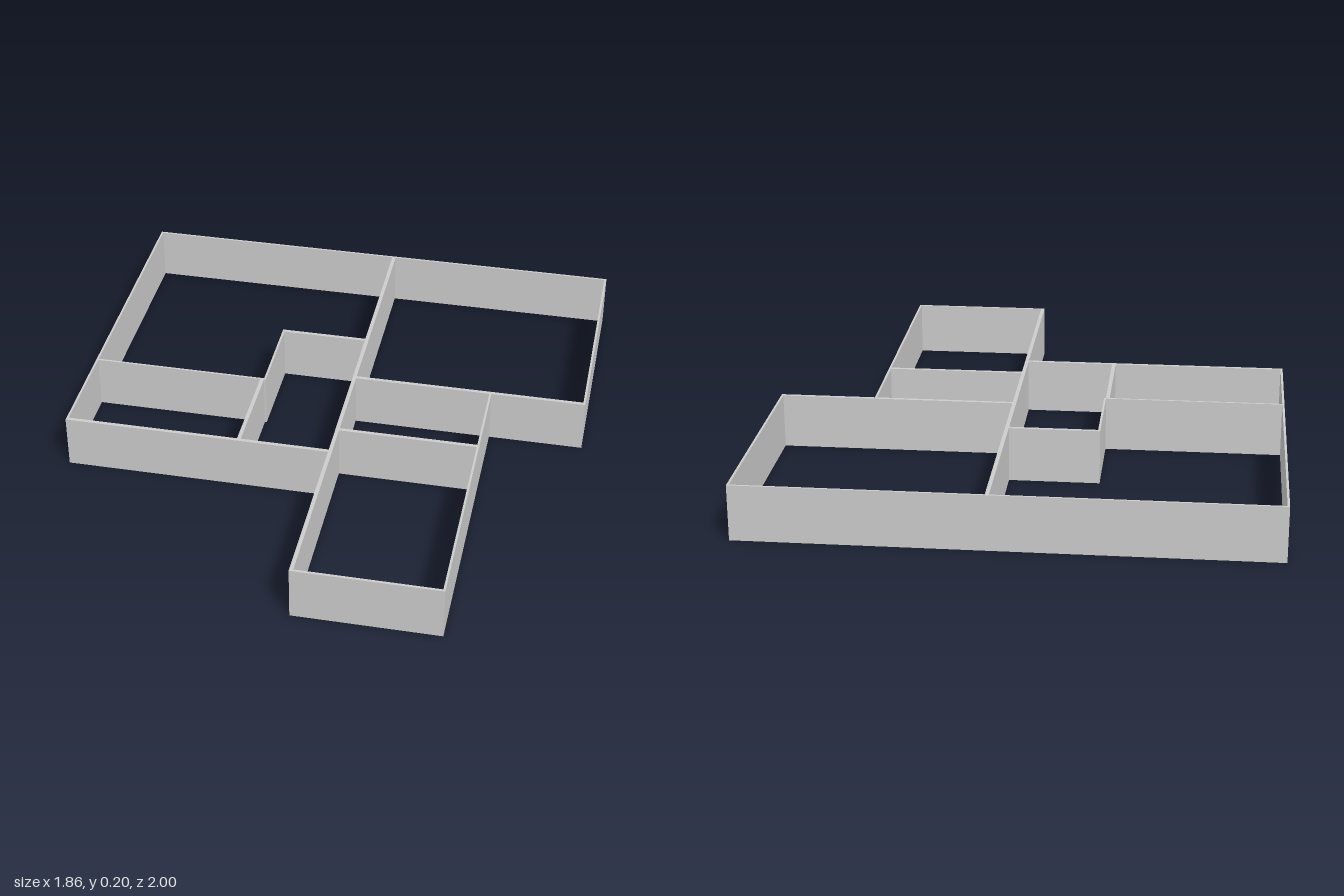
import * as THREE from 'three';

const HEIGHT = 0.2;
const THIN = 0.008;
const THICK = 0.014;

export function createModel() {
  const group = new THREE.Group();
  group.name = 'floorPlanWalls';
  const material = new THREE.MeshStandardMaterial({ color: 0xcccccc, flatShading: true });

  // One upright wall filling a rectangle of the plan
  const wall = (name, x0, x1, z0, z1) => {
    const mesh = new THREE.Mesh(new THREE.BoxGeometry(x1 - x0, HEIGHT, z1 - z0), material);
    mesh.position.set((x0 + x1) / 2, HEIGHT / 2, (z0 + z1) / 2);
    mesh.name = name;
    group.add(mesh);
  };
  // Walls along x (at depth z) and along z (at position x)
  const alongX = (name, z, x0, x1, t) => wall(name, x0, x1, z - t / 2, z + t / 2);
  const alongZ = (name, x, z0, z1, t) => wall(name, x - t / 2, x + t / 2, z0, z1);

  // Outer walls
  alongX('backWall', -0.996, -0.93, 0.93, THIN);
  alongZ('rightOuterWall', -0.926, -0.992, 0.34, THIN);
  alongZ('leftOuterWall', 0.926, -0.992, -0.125, THIN);
  alongX('rightFrontWall', 0.333, -0.922, 0.052, THICK);
  alongX('leftRoomFrontWall', -0.132, 0.066, 0.93, THICK);
  alongZ('frontWingLeftWall', 0.576, -0.125, 1, THIN);
  alongX('frontWingFrontWall', 0.995, 0.066, 0.572, 0.01);

  // Inner walls
  alongZ('spineWall', 0.059, -0.992, 1, THICK);
  alongX('frontWingDivider', 0.2, 0.066, 0.572, THICK);
  alongX('hallBackWall', -0.383, -0.274, 0.052, THICK);
  alongZ('hallUpperSideWall', -0.27, -0.376, -0.049, THIN);
  alongX('smallRoomBackWall', -0.053, -0.922, -0.274, THIN);
  alongZ('smallRoomSideWall', -0.28, -0.049, 0.326, THICK);

  return group;
}
